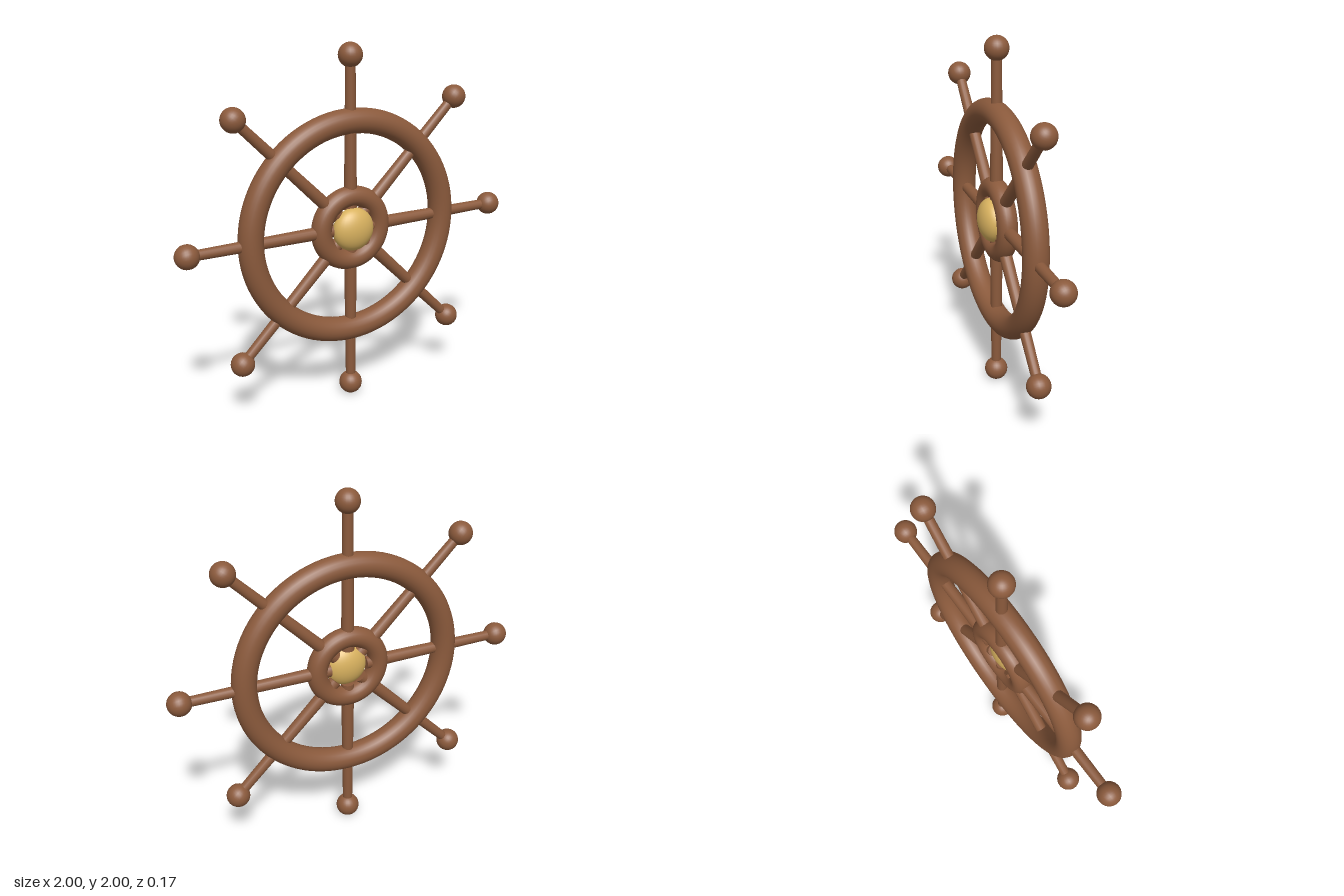
import * as THREE from 'three';

export function createModel() {
  const wood = new THREE.MeshStandardMaterial({ color: 0x8b5a3c });
  const brass = new THREE.MeshStandardMaterial({ color: 0xd9b25f });

  const model = new THREE.Group();
  model.name = 'shipWheel';
  const wheel = new THREE.Group();
  wheel.name = 'wheel';
  wheel.position.set(0, 1, -0.017);
  model.add(wheel);

  const add = (parent, name, geometry, material) => {
    const mesh = new THREE.Mesh(geometry, material);
    mesh.name = name;
    parent.add(mesh);
    return mesh;
  };

  // Outer rim and hub ring
  add(wheel, 'rim', new THREE.TorusGeometry(0.59, 0.068, 24, 96), wood);
  add(wheel, 'hubRing', new THREE.TorusGeometry(0.179, 0.056, 20, 64), wood);

  // Flattened brass cap, set slightly forward
  const cap = add(wheel, 'hubCap', new THREE.SphereGeometry(0.12, 32, 24), brass);
  cap.scale.z = 0.6;
  cap.position.z = 0.03;

  // Eight tapered spokes, each ending in a round knob
  const inner = 0.105, outer = 0.92, knobCentre = 0.935;
  const spokeGeometry = new THREE.CylinderGeometry(0.027, 0.036, outer - inner, 16);
  const knobGeometry = new THREE.SphereGeometry(0.065, 24, 18);
  for (let i = 0; i < 8; i++) {
    const arm = new THREE.Group();
    arm.name = 'spokeArm';
    arm.rotation.z = (i * Math.PI) / 4;
    add(arm, 'spoke', spokeGeometry, wood).position.y = (inner + outer) / 2;
    add(arm, 'knob', knobGeometry, wood).position.y = knobCentre;
    wheel.add(arm);
  }
  return model;
}
